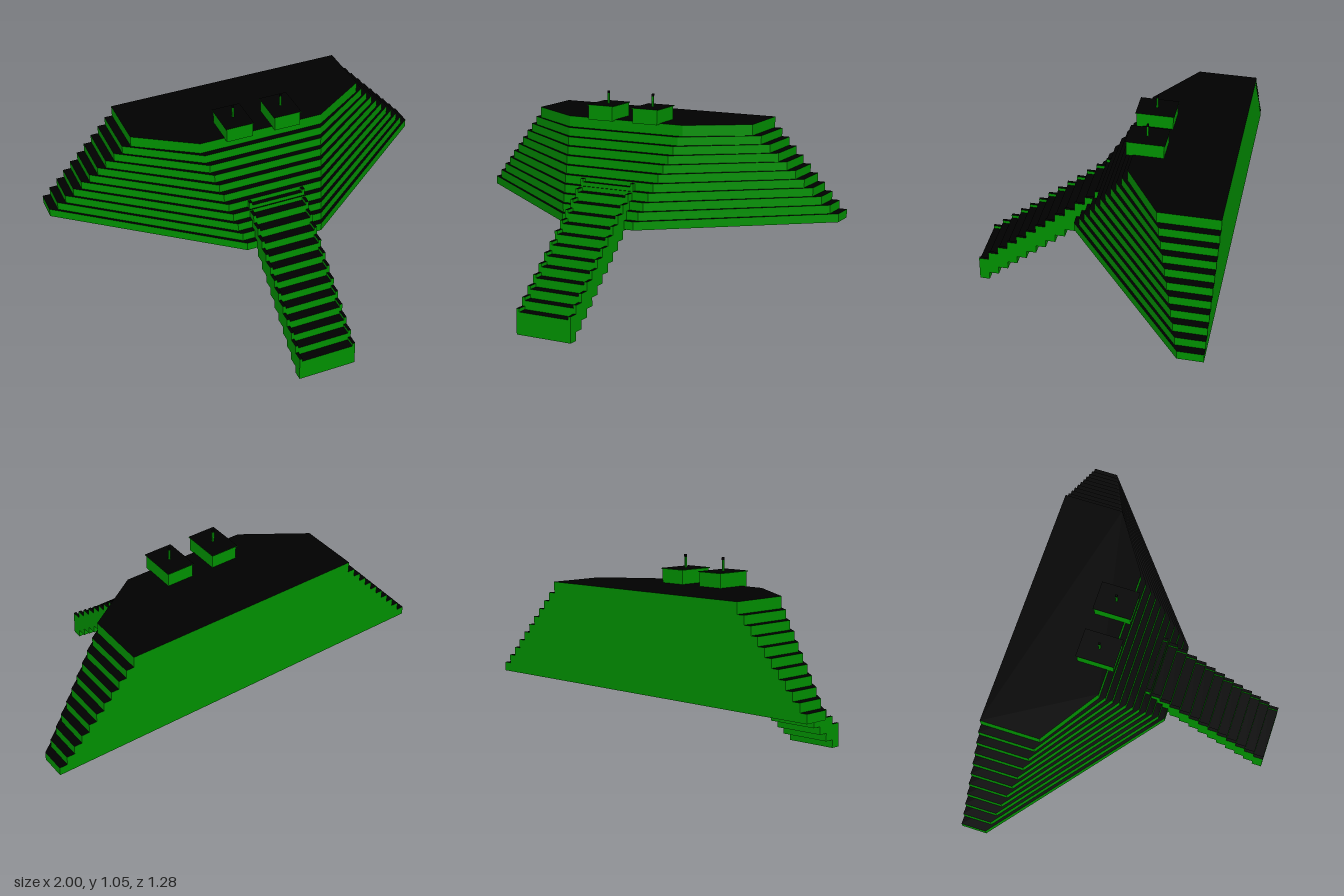
import * as THREE from 'three';

const black = new THREE.MeshStandardMaterial({ color: 0x000000 });
black.name = 'black';
const green = new THREE.MeshStandardMaterial({ color: 0x009000, side: THREE.DoubleSide });
green.name = 'green';

// Horizontal slab from an [x, z] outline: black top and bottom, green sides
function slab(name, outline, y, height) {
  const shape = new THREE.Shape(outline.map(([x, z]) => new THREE.Vector2(x, -z)));
  const geometry = new THREE.ExtrudeGeometry(shape, { depth: height, bevelEnabled: false });
  geometry.rotateX(-Math.PI / 2).translate(0, y, 0);
  const mesh = new THREE.Mesh(geometry, [black, green]);
  mesh.name = name;
  return mesh;
}

// Box given by its limits
function block(name, x0, x1, y0, y1, z0, z1) {
  return slab(name, [[x0, z1], [x1, z1], [x1, z0], [x0, z0]], y0, y1 - y0);
}

// Thin upright walls along an outline, open above and below
function skirt(name, outline, y, height) {
  const group = new THREE.Group();
  group.name = name;
  outline.forEach(([x0, z0], i) => {
    const [x1, z1] = outline[(i + 1) % outline.length];
    const wall = new THREE.Mesh(new THREE.PlaneGeometry(Math.hypot(x1 - x0, z1 - z0), height), green);
    wall.name = 'skirtWall';
    wall.position.set((x0 + x1) / 2, y + height / 2, (z0 + z1) / 2);
    wall.rotation.y = Math.atan2(z0 - z1, x1 - x0);
    group.add(wall);
  });
  return group;
}

// Tier outline: straight back, short sides, slanted wings and a narrow front
function tierOutline(i) {
  const back = -0.638;
  const wide = 1 - 0.0395 * i, sideZ = -0.517 + 0.0169 * i;
  const narrow = 0.197 + 0.012 * i, frontZ = 0.126 - 0.0285 * i;
  return [
    [-wide, back], [-wide, sideZ], [-narrow, frontZ],
    [narrow, frontZ], [wide, sideZ], [wide, back],
  ];
}

export function createModel() {
  const model = new THREE.Group();
  model.name = 'steppedPlatform';
  const rise = 0.0425, base = 0.431;

  // Terraced body: hollow lowest tier, nine equal tiers, taller top tier
  const terraces = new THREE.Group();
  terraces.name = 'terraces';
  const plate = 0.002;
  terraces.add(
    skirt('bottomSkirt', tierOutline(0), base, rise - plate),
    slab('bottomTread', tierOutline(0), base + rise - plate, plate),
  );
  for (let i = 1; i < 11; i++) {
    const y = base + rise * i;
    terraces.add(slab('terrace', tierOutline(i), y, i < 10 ? rise : 0.911 - y));
  }
  model.add(terraces);

  // Staircase: treads between two slightly higher stepped stringers
  const stairs = new THREE.Group();
  stairs.name = 'stairs';
  const run = 0.0503;
  for (let i = 0; i < 13; i++) {
    const y = rise * i, z = 0.638 - run * i;
    stairs.add(block('tread', -0.131, 0.131, y, y + 0.111, z - run, z));
    for (const s of [-1, 1]) {
      const x = s * 0.1385;
      stairs.add(block('stringer', x - 0.0075, x + 0.0075, y, y + 0.127, z - run, z));
    }
  }
  model.add(stairs);

  // Pair of lidded boxes with thin posts on the top deck
  for (const s of [-1, 1]) {
    const x = s * 0.1245;
    const box = new THREE.Group();
    box.name = s > 0 ? 'leftBox' : 'rightBox';
    box.add(
      block('boxBody', x - 0.067, x + 0.067, 0.906, 0.978, -0.306, -0.128),
      block('boxLid', x - 0.072, x + 0.072, 0.978, 0.982, -0.311, -0.123),
      block('post', x - 0.0045, x + 0.0045, 0.982, 1.034, -0.2205, -0.2115),
    );
    const tip = new THREE.Mesh(new THREE.BoxGeometry(0.01, 0.012, 0.01), black);
    tip.name = 'postTip';
    tip.position.set(x, 1.04, -0.216);
    box.add(tip);
    model.add(box);
  }
  return model;
}
